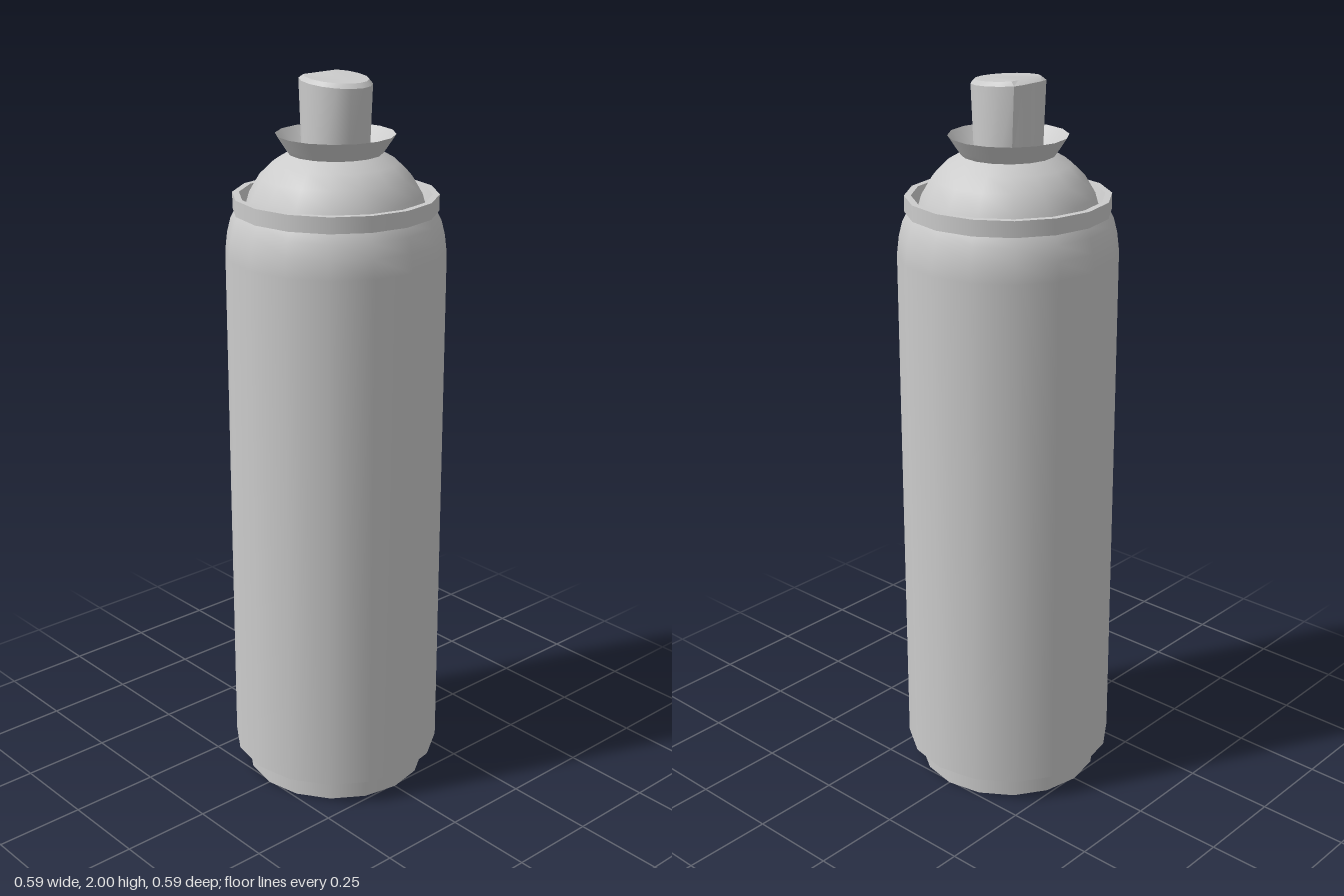
import * as THREE from 'three';
import { toCreasedNormals } from 'three/addons/utils/BufferGeometryUtils.js';

const SIDES = 16;
const material = new THREE.MeshStandardMaterial({ color: 0xcccccc });

// One smooth band of revolution; separate bands meet in sharp edges
function band(name, points) {
  const profile = points.map(([r, y]) => new THREE.Vector2(r, y));
  const mesh = new THREE.Mesh(new THREE.LatheGeometry(profile, SIDES), material);
  mesh.name = name;
  return mesh;
}

// Oval ring with a flattened back; the height changes by tilt along z
function flatBackRing({ rx, rz, back, y, tilt = 0 }) {
  return Array.from({ length: SIDES }, (_, i) => {
    const a = (i / SIDES) * Math.PI * 2;
    const z = Math.max(Math.cos(a) * rz, back);
    return [Math.sin(a) * rx, y - tilt * z, z];
  });
}

// Skin between stacked rings, closed on the last ring if wanted
function loft(name, rings, capped) {
  const positions = rings.flat(2);
  const index = [];
  for (let j = 0; j < rings.length - 1; j++) {
    for (let i = 0; i < SIDES; i++) {
      const k = (i + 1) % SIDES;
      const a = j * SIDES + i, b = j * SIDES + k;
      index.push(a, b, b + SIDES, a, b + SIDES, a + SIDES);
    }
  }
  if (capped) {
    const start = (rings.length - 1) * SIDES;
    for (let i = 1; i < SIDES - 1; i++) index.push(start, start + i, start + i + 1);
  }
  const geometry = new THREE.BufferGeometry();
  geometry.setAttribute('position', new THREE.Float32BufferAttribute(positions, 3));
  geometry.setIndex(index);
  const mesh = new THREE.Mesh(toCreasedNormals(geometry, 0.6), material);
  mesh.name = name;
  return mesh;
}

export function createModel() {
  const model = new THREE.Group();
  model.name = 'sprayCan';

  // Can body, from the base up to the crimped rim
  const body = new THREE.Group();
  body.name = 'canBody';
  body.add(
    band('baseDisc', [[0, 0], [0.257, 0]]),
    band('baseRing', [[0.257, 0], [0.257, 0.055]]),
    band('lowerLip', [[0.257, 0.055], [0.295, 0.07]]),
    band('wall', [[0.295, 0.07], [0.295, 1.535], [0.289, 1.585], [0.279, 1.625], [0.266, 1.65]]),
    band('rimUnderside', [[0.266, 1.65], [0.273, 1.65]]),
    band('rimOuter', [[0.273, 1.65], [0.273, 1.693]]),
    band('rimTop', [[0.273, 1.693], [0.255, 1.693]]),
    band('rimInner', [[0.255, 1.693], [0.241, 1.65]])
  );

  // Domed shoulder and the valve cup on it
  const top = new THREE.Group();
  top.name = 'canTop';
  top.add(
    band('dome', [[0.241, 1.65], [0.228, 1.695], [0.2, 1.742], [0.165, 1.776], [0.124, 1.8]]),
    band('cupOuter', [[0.124, 1.8], [0.135, 1.815], [0.158, 1.85]])
  );
  const floorEdge = { rx: 0.108, rz: 0.108, back: -0.102, y: 1.795 };
  top.add(
    loft('cupInner', [
      flatBackRing({ rx: 0.158, rz: 0.158, back: -1, y: 1.85 }),
      flatBackRing({ rx: 0.14, rz: 0.14, back: -1, y: 1.828 }),
      flatBackRing({ rx: 0.12, rz: 0.12, back: -1, y: 1.806 }),
      flatBackRing(floorEdge)
    ], false),
    loft('cupFloor', [
      flatBackRing(floorEdge),
      flatBackRing({ rx: 0.086, rz: 0.092, back: -0.08, y: 1.79 })
    ], false)
  );

  // Spray button: flat back, slanted top with a bevelled edge
  const button = loft('sprayButton', [
    flatBackRing({ rx: 0.086, rz: 0.092, back: -0.08, y: 1.79 }),
    flatBackRing({ rx: 0.088, rz: 0.105, back: -0.08, y: 1.985, tilt: 0.07 }),
    flatBackRing({ rx: 0.08, rz: 0.093, back: -0.061, y: 1.996, tilt: 0.07 })
  ], true);

  model.add(body, top, button);
  return model;
}
